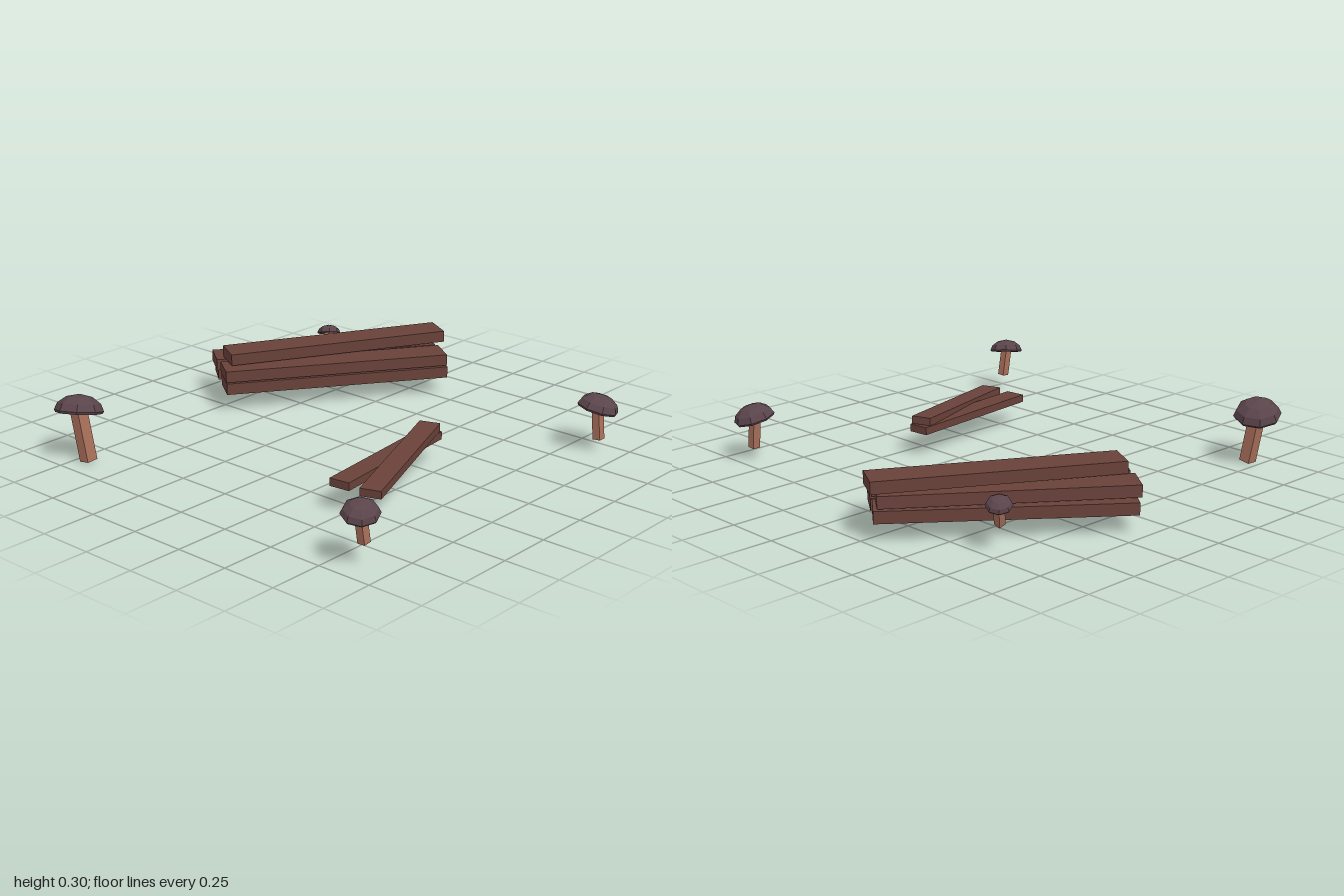
import * as THREE from 'three';

const material = (name, color, flatShading = true) => {
  const m = new THREE.MeshStandardMaterial({ color, flatShading });
  m.name = name;
  return m;
};

export function createModel() {
  const model = new THREE.Group();
  const wood = material('plank brown', 0x69413a);
  const capPaint = material('cap plum', 0x5a444b);
  const stemPaint = material('stem tan', 0xaa705b);

  // Plank: centre, size, heading in degrees (x towards z), end-to-end tilt
  function plank(parent, name, [x, y, z], [l, h, w], heading, tilt = 0) {
    const mesh = new THREE.Mesh(new THREE.BoxGeometry(l, h, w), wood);
    mesh.name = name;
    mesh.position.set(x, y, z);
    mesh.rotation.set(0, THREE.MathUtils.degToRad(-heading), THREE.MathUtils.degToRad(tilt));
    parent.add(mesh);
  }

  // Stack of long planks: two crossed layers of two, with one on top
  const stack = new THREE.Group();
  stack.name = 'plankStack';
  const long = [1.06, 0.053, 0.15];
  plank(stack, 'bottomFrontPlank', [0.415, 0.104, -0.43], long, 35.2);
  plank(stack, 'bottomBackPlank', [0.523, 0.104, -0.583], long, 38.6);
  plank(stack, 'middleFrontPlank', [0.41, 0.165, -0.43], long, 35);
  plank(stack, 'middleBackPlank', [0.5, 0.165, -0.575], long, 36.5);
  plank(stack, 'topPlank', [0.497, 0.227, -0.505], long, 29.4, 0.2);
  model.add(stack);

  // Two short boards, one leaning on the other
  const boards = new THREE.Group();
  boards.name = 'shortBoards';
  plank(boards, 'flatBoard', [-0.236, 0.118, 0.443], [0.695, 0.035, 0.095], -6.3);
  plank(boards, 'leaningBoard', [-0.24, 0.138, 0.521], [0.71, 0.035, 0.093], -19.5, 2.9);
  model.add(boards);

  // Faceted dome with a shallow hollow underneath, unit radius
  const profile = [[0, 0.1], [0.55, 0.06], [0.94, -0.05], [1, 0.05], [0.87, 0.35], [0.52, 0.61], [0, 0.72]];
  const capGeometry = new THREE.LatheGeometry(profile.map(p => new THREE.Vector2(...p)), 8);
  const up = new THREE.Vector3(0, 1, 0);

  // Mushroom: square stem from base to cap, cap leaning towards (leanX, leanZ)
  function mushroom(name, base, capCentre, radius, stemWidth, leanX, leanZ) {
    const group = new THREE.Group();
    group.name = name;
    const from = new THREE.Vector3(...base), to = new THREE.Vector3(...capCentre);
    const axis = to.clone().sub(from);
    const length = axis.length() + radius * 0.12;
    axis.normalize();
    const stem = new THREE.Mesh(new THREE.BoxGeometry(stemWidth, length, stemWidth), stemPaint);
    stem.name = 'stem';
    stem.position.copy(from).addScaledVector(axis, length / 2);
    stem.quaternion.setFromUnitVectors(up, axis);
    const cap = new THREE.Mesh(capGeometry, capPaint);
    cap.name = 'cap';
    cap.position.copy(to);
    cap.scale.setScalar(radius);
    cap.quaternion.setFromUnitVectors(up, new THREE.Vector3(leanX, 1, leanZ).normalize());
    group.add(stem, cap);
    model.add(group);
  }
  mushroom('tallMushroom', [-0.89, 0, -0.692], [-0.9, 0.218, -0.728], 0.107, 0.053, 0.25, -0.15);
  mushroom('frontRightMushroom', [-0.887, 0.09, 0.878], [-0.903, 0.212, 0.873], 0.079, 0.036, -0.2, 0.2);
  mushroom('frontLeftMushroom', [0.673, 0.05, 0.885], [0.673, 0.188, 0.872], 0.094, 0.037, 0.22, 0.16);
  mushroom('smallMushroom', [0.66, 0.095, -0.69], [0.69, 0.187, -0.717], 0.056, 0.032, 0.3, -0.28);
  return model;
}
